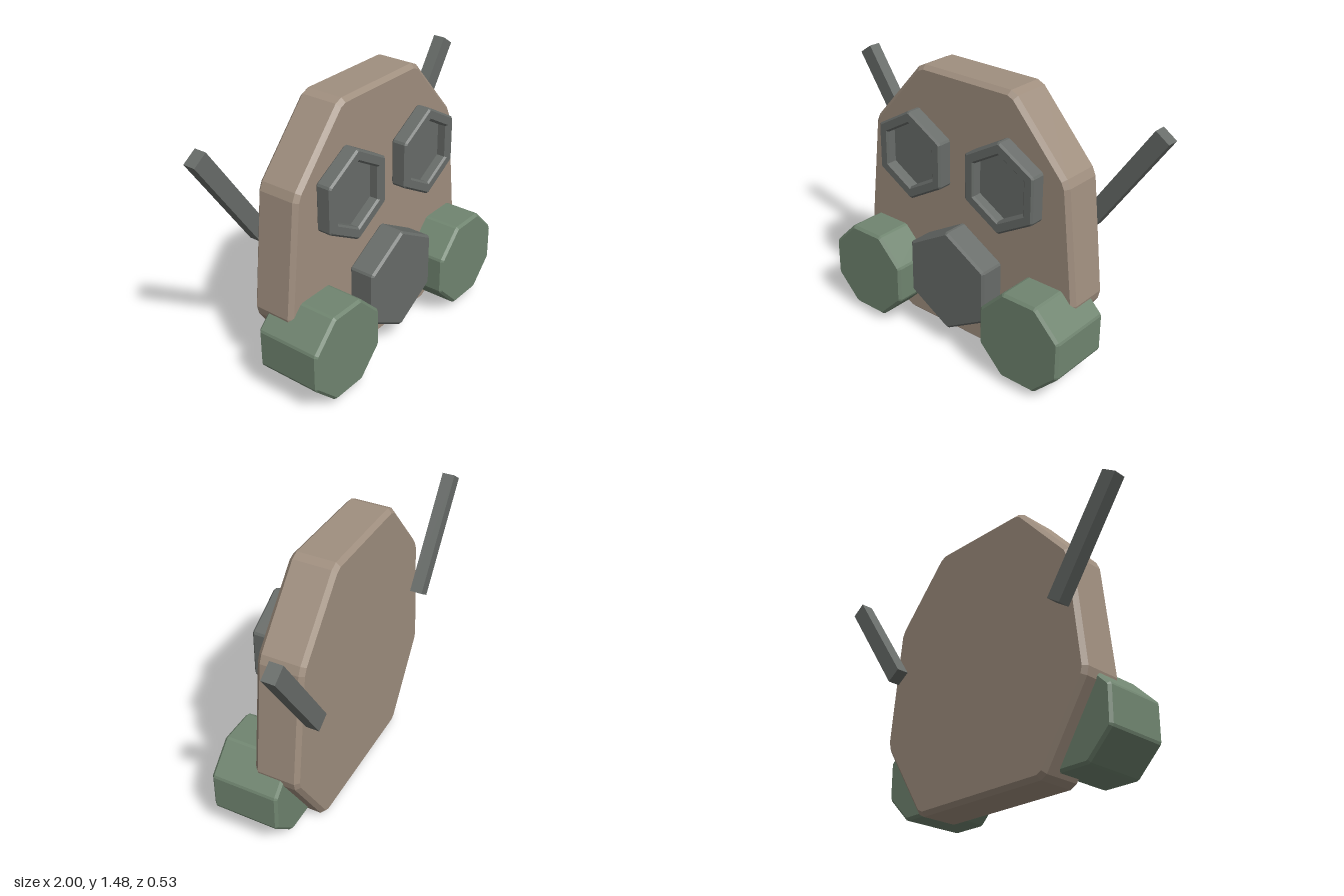
import * as THREE from 'three';

const mat = (name, color) => Object.assign(new THREE.MeshStandardMaterial({ color }), { name });

// Regular polygon corners, counter-clockwise
const ngon = (n, r, turn = 0) => Array.from({ length: n }, (_, i) => {
  const a = turn + (i / n) * Math.PI * 2;
  return new THREE.Vector2(Math.cos(a) * r, Math.sin(a) * r);
});

// Trim every corner of an outline by a short distance
const trim = (pts, d) => pts.flatMap((p, i) => {
  const toward = (q) => p.clone().add(q.clone().sub(p).setLength(d));
  return [toward(pts[(i + pts.length - 1) % pts.length]), toward(pts[(i + 1) % pts.length])];
});

// Chamfered plate between two depths, with an optional hole
function plate(name, material, outline, z0, z1, bevel, hole) {
  const shape = new THREE.Shape(outline);
  if (hole) shape.holes.push(new THREE.Path(hole));
  const geo = new THREE.ExtrudeGeometry(shape, {
    depth: z1 - z0 - 2 * bevel, bevelEnabled: true, bevelSegments: 1,
    bevelThickness: bevel, bevelSize: bevel, bevelOffset: -bevel,
  });
  geo.translate(0, 0, z0 + bevel);
  const mesh = new THREE.Mesh(geo, material);
  mesh.name = name;
  return mesh;
}

export function createModel() {
  const tan = mat('tan shell', 0xa08f7f);
  const green = mat('green filter', 0x708570);
  const gray = mat('dark gray fittings', 0x686c69);
  const model = new THREE.Group();
  model.name = 'gasMask';

  // Face plate: symmetric eight-sided outline
  const half = [[0.43, 0], [0.715, 0.445], [0.638, 1.11], [0.302, 1.484]];
  const outline = [...half, ...half.slice().reverse().map(([x, y]) => [-x, y])]
    .map(([x, y]) => new THREE.Vector2(x, y));
  model.add(plate('facePlate', tan, trim(outline, 0.025), -0.19, 0.055, 0.022));

  // Central hexagonal mouthpiece
  const mouth = plate('mouthpiece', gray, trim(ngon(6, 0.293, Math.PI / 6), 0.008), 0.05, 0.2, 0.012);
  mouth.position.y = 0.4;
  model.add(mouth);

  for (const [side, s] of [['left', 1], ['right', -1]]) {
    // Eyepiece: hexagonal rim around a sunken lens
    const eye = new THREE.Group();
    eye.name = side + 'Eyepiece';
    eye.position.set(s * 0.296, 1.015, 0);
    eye.add(plate('rim', gray, trim(ngon(6, 0.247, Math.PI / 6), 0.008), 0.06, 0.15, 0.01,
      ngon(6, 0.178, Math.PI / 6)));
    eye.add(plate('lens', gray, ngon(6, 0.19, Math.PI / 6), 0.062, 0.095, 0.002));
    model.add(eye);

    // Octagonal filter canister
    const filter = plate(side + 'Filter', green,
      trim(ngon(8, 0.268, Math.PI / 8), 0.008), -0.105, 0.265, 0.014);
    filter.position.set(s * 0.53, 0.288, 0);
    model.add(filter);

    // Slanted strap behind the face plate
    const strap = new THREE.Mesh(new THREE.BoxGeometry(0.09, 0.659, 0.068), gray);
    strap.name = side + 'Strap';
    strap.position.set(s * 0.7775, 1.0875, -0.231);
    strap.rotation.z = -s * 0.597;
    model.add(strap);
  }
  return model;
}
